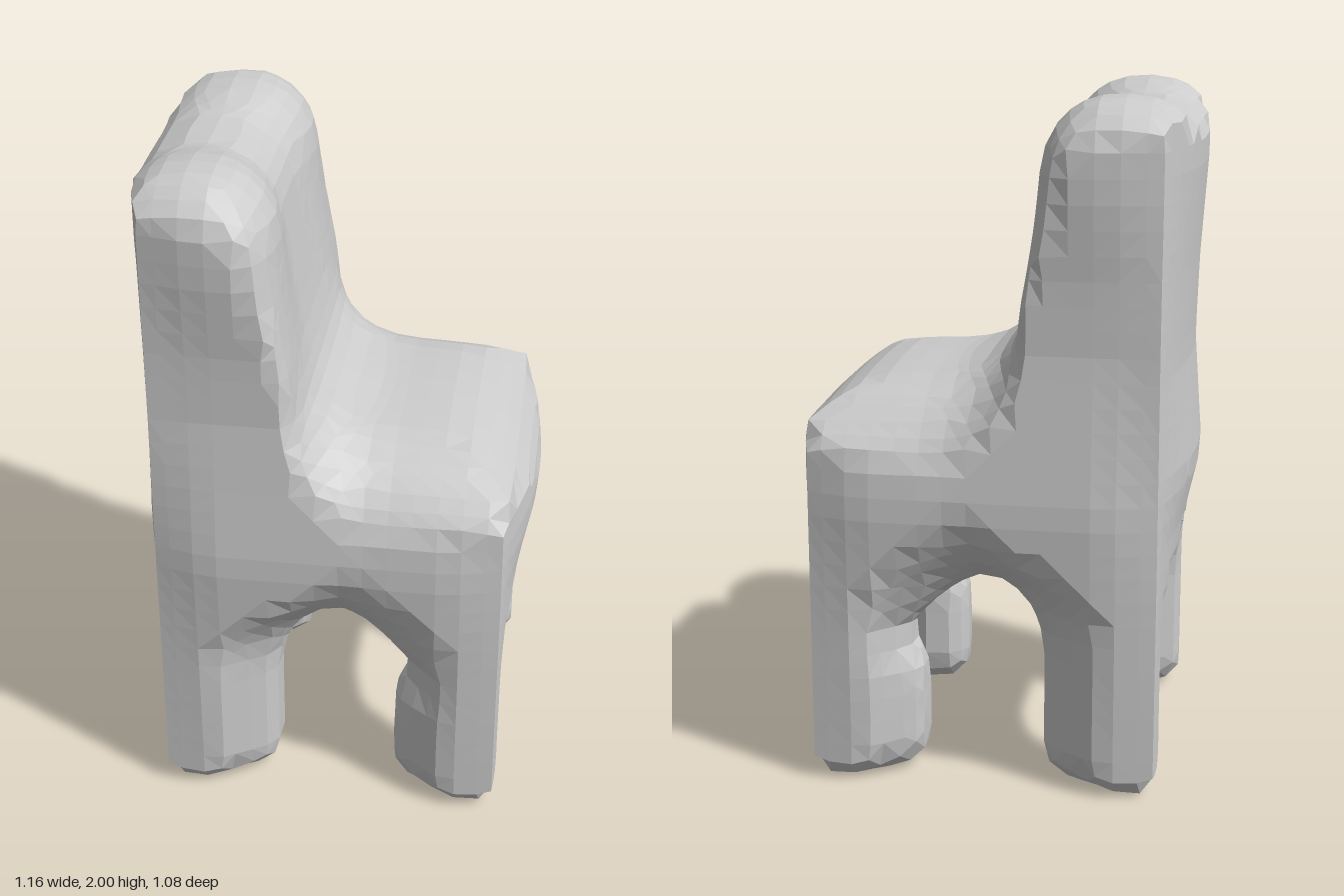
import * as THREE from 'three';

const { abs, min, max, hypot, exp } = Math;
const { lerp, clamp } = THREE.MathUtils;

// Soft union: blends two distances with fillet size k
const blend = (a, b, k) => {
  const h = max(k - abs(a - b), 0) / k;
  return min(a, b) - h * h * k * 0.25;
};
// Rounded rectangle in plan
const plan = (x, z, hx, hz, r) => {
  const dx = abs(x) - hx + r, dz = abs(z) - hz + r;
  return hypot(max(dx, 0), max(dz, 0)) + min(max(dx, dz), 0) - r;
};
// Raises a plan outline from y0 to y1 with edges rounded by r
const raise = (d, y, y0, y1, r) => {
  const a = d + r, b = abs(y - (y0 + y1) / 2) - (y1 - y0) / 2 + r;
  return hypot(max(a, 0), max(b, 0)) + min(max(a, b), 0) - r;
};
// Reads a [height, value] profile at height y
const profile = (points, y) => {
  const i = max(1, points.findIndex((p) => p[0] >= y));
  const [a, b] = [points[i - 1], points[i]];
  return lerp(a[1], b[1], clamp((y - a[0]) / (b[0] - a[0]), 0, 1));
};

// Seat: pillow whose edges thin out toward the front and sides
function seat(x, y, z) {
  const front = max(x, 0);
  const yy = 0.89 + (y - 0.89) * (1 + 0.5 * z * z + 0.4 * front * front);
  return raise(plan(x, z, 0.585, 0.525, 0.08), yy, 0.595, 1.2, 0.28);
}
// Leg: mirrored into four corners, stretched along the diagonal;
// the seat-end pair is pinched above the foot
function leg(x, y, z) {
  const px = abs(x), pz = abs(z);
  const ax = x > 0 ? 0.29 + 0.05 * exp(-(((y - 0.44) / 0.08) ** 2)) : 0.27;
  const az = 0.345, bx = 0.43, bz = 0.44;
  const ux = bx - ax, uz = bz - az;
  const t = clamp(((px - ax) * ux + (pz - az) * uz) / (ux * ux + uz * uz), 0, 1);
  return raise(hypot(px - ax - t * ux, pz - az - t * uz) - 0.11, y, 0, 0.88, 0.105);
}
// Backrest: a slab, thicker toward the seat, with fuller rounded sides
function back(x, y, z) {
  const face = -0.21 + 0.2 * clamp(1.95 - y, 0, 0.55), rear = -0.6;
  const slab = raise(plan(x - (face + rear) / 2, z, (face - rear) / 2, 0.53, 0.08), y, 0.8, 1.965, 0.17);
  const post = raise(hypot(x + 0.355, abs(z) - 0.325) - 0.195, y, 0.8, 1.99, 0.17);
  return blend(slab, post, 0.1);
}

// Footprint shared by all parts: upright corner ridges with faces that
// swell between them by an amount that changes with height
const SWELL_X = [[0, 0.012], [0.45, 0.014], [0.75, 0.045], [0.92, 0.083],
  [1.05, 0.072], [1.25, 0.056], [1.5, 0.064], [1.8, 0.085], [2, 0.085]];
const SWELL_Z = [[0, 0.012], [0.5, 0.02], [0.85, 0.041], [1.05, 0.024],
  [1.3, 0.004], [1.5, 0.008], [1.75, 0.032], [2, 0.03]];
const footprint = (x, y, z) => max(
  abs(x) - 0.5 - profile(SWELL_X, y) * (1 - 4 * z * z),
  abs(z) - 0.5 - profile(SWELL_Z, y) * min(1, (0.5 - abs(x)) / 0.15));

const body = (x, y, z) => max(footprint(x, y, z),
  blend(blend(seat(x, y, z), leg(x, y, z), 0.27), back(x, y, z), 0.28));

function gradient(p) {
  const e = 0.004;
  return new THREE.Vector3(
    body(p.x + e, p.y, p.z) - body(p.x - e, p.y, p.z),
    body(p.x, p.y + e, p.z) - body(p.x, p.y - e, p.z),
    body(p.x, p.y, p.z + e) - body(p.x, p.y, p.z - e)).divideScalar(2 * e);
}

// Wraps the blended body in quads on a regular grid; returns corner loops
function skin() {
  const s = 0.07, n = [22, 34, 22], o = [-0.77, -0.13, -0.77];
  const at = (i, j, k) => new THREE.Vector3(o[0] + i * s, o[1] + j * s, o[2] + k * s);
  const id = (i, j, k) => i + (n[0] + 1) * (j + (n[1] + 1) * k);
  const val = [], cells = new Map(), quads = [];
  for (let k = 0; k <= n[2]; k++)
    for (let j = 0; j <= n[1]; j++)
      for (let i = 0; i <= n[0]; i++) {
        const p = at(i, j, k);
        val[id(i, j, k)] = body(p.x, p.y, p.z);
      }
  // One point per crossed cell, pulled onto the surface
  const point = (i, j, k) => {
    const key = id(i, j, k);
    if (cells.has(key)) return cells.get(key);
    const sum = new THREE.Vector3();
    let count = 0;
    for (let a = 0; a < 3; a++)
      for (let c = 0; c < 4; c++) {
        const q = [i, j, k];
        q[(a + 1) % 3] += c & 1;
        q[(a + 2) % 3] += c >> 1;
        const r = q.slice();
        r[a]++;
        const v = val[id(...q)], w = val[id(...r)];
        if ((v < 0) === (w < 0)) continue;
        sum.add(at(...q).lerp(at(...r), v / (v - w)));
        count++;
      }
    sum.divideScalar(count);
    for (let m = 0; m < 3; m++) {
      const g = gradient(sum);
      sum.addScaledVector(g, -body(sum.x, sum.y, sum.z) / max(g.lengthSq(), 0.3));
    }
    cells.set(key, sum);
    return sum;
  };
  for (let k = 1; k < n[2]; k++)
    for (let j = 1; j < n[1]; j++)
      for (let i = 1; i < n[0]; i++)
        for (let a = 0; a < 3; a++) {
          const q = [i, j, k], r = [i, j, k];
          r[a]++;
          const inside = val[id(...q)] < 0;
          if (inside === val[id(...r)] < 0) continue;
          const loop = [[-1, -1], [0, -1], [0, 0], [-1, 0]].map(([u, v]) => {
            const c = [i, j, k];
            c[(a + 1) % 3] += u;
            c[(a + 2) % 3] += v;
            return point(...c);
          });
          quads.push(inside ? loop : loop.reverse());
        }
  return quads;
}

// Sorts the skin into named parts by height and corner
function partName(c) {
  if (c.y > 1.28) return 'backrest';
  if (c.y > 0.52) return 'seat';
  return (c.x > 0 ? 'seatEnd' : 'backEnd') + (c.z > 0 ? 'FrontLeg' : 'RearLeg');
}

export function createModel() {
  const group = new THREE.Group();
  group.name = 'chair';
  const material = new THREE.MeshStandardMaterial({ color: 0xcccccc, flatShading: true });
  const parts = {};
  for (const [a, b, c, d] of skin()) {
    const mid = new THREE.Vector3().add(a).add(b).add(c).add(d).divideScalar(4);
    const list = (parts[partName(mid)] ??= []);
    // Split each quad along its shorter diagonal
    const tris = a.distanceTo(c) < b.distanceTo(d) ? [a, b, c, a, c, d] : [a, b, d, b, c, d];
    for (const p of tris) list.push(p.x, p.y, p.z);
  }
  for (const [name, list] of Object.entries(parts)) {
    const geometry = new THREE.BufferGeometry();
    geometry.setAttribute('position', new THREE.Float32BufferAttribute(list, 3));
    geometry.computeVertexNormals();
    const mesh = new THREE.Mesh(geometry, material);
    mesh.name = name;
    group.add(mesh);
  }
  return group;
}
